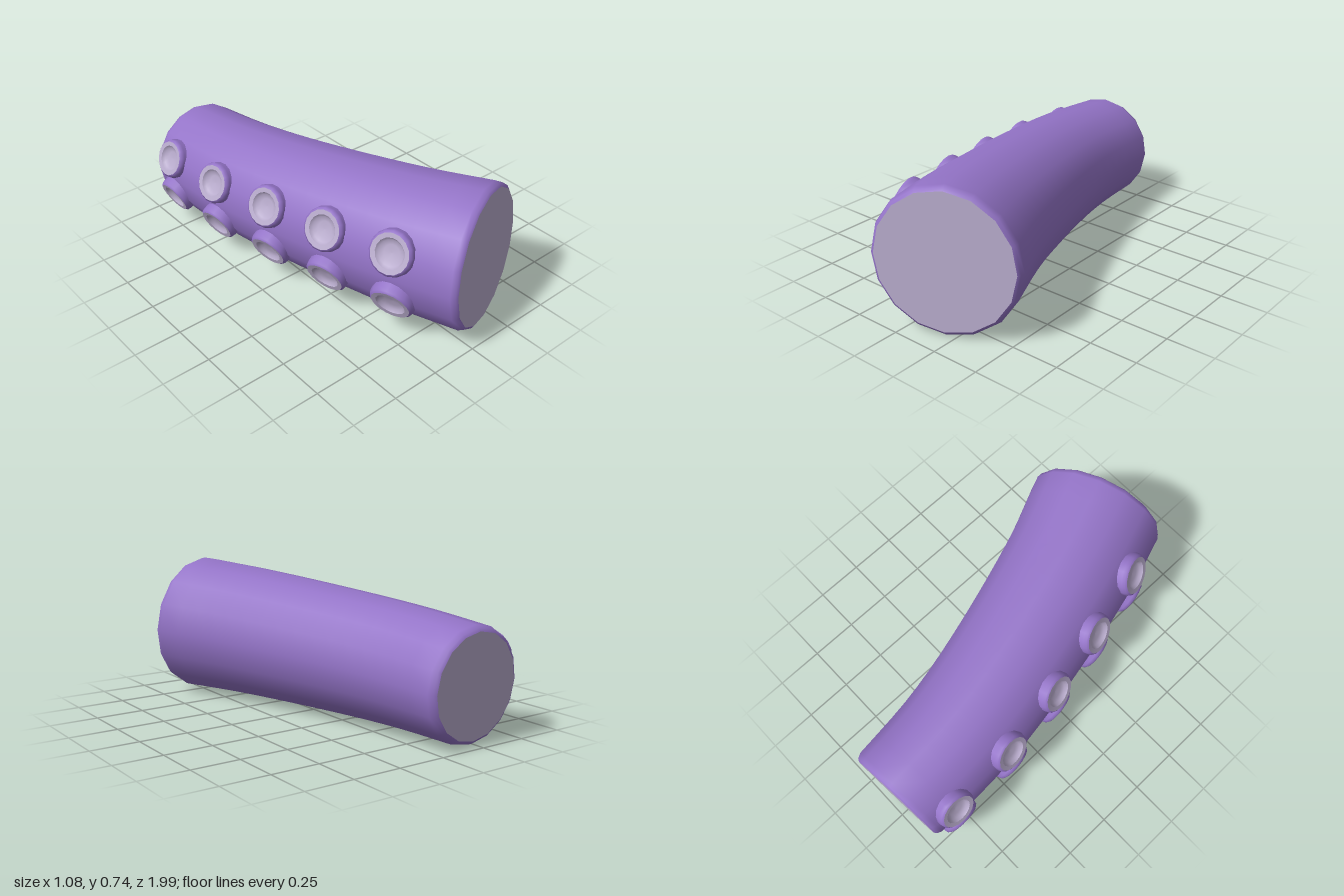
import * as THREE from 'three';

const SIDES = 16;
const skin = new THREE.MeshStandardMaterial({ color: 0x9474c8 });
skin.name = 'purple skin';
const flesh = new THREE.MeshStandardMaterial({ color: 0xb8abcc });
flesh.name = 'pale lilac flesh';

// Centre line of the tapering arm, from the thin back end to the thick front end
const spine = new THREE.CatmullRomCurve3([
  [-0.22, 0.287, -0.975], [-0.19, 0.307, -0.55], [-0.113, 0.326, -0.134],
  [0.06, 0.356, 0.5], [0.2, 0.373, 0.87],
].map((p) => new THREE.Vector3(...p)));
const radiusAt = (u) => THREE.MathUtils.lerp(0.284, 0.373, u);

// Centre, sideways, upward and forward directions at a point of the spine
function frameAt(u) {
  const c = spine.getPointAt(u);
  const t = spine.getTangentAt(u);
  const side = new THREE.Vector3(0, 1, 0).cross(t).normalize();
  const up = t.clone().cross(side);
  return { c, t, side, up };
}

function radial(f, a) {
  return f.side.clone().multiplyScalar(Math.cos(a)).addScaledVector(f.up, Math.sin(a));
}

function mesh(name, geometry, material) {
  const m = new THREE.Mesh(geometry, material);
  m.name = name;
  return m;
}

// Tapering skin with rounded rims: rings of [position, inset]
function armGeometry() {
  const rings = [[0, 0.024], [0.005, 0.01], [0.018, 0]];
  for (let i = 1; i < 16; i++) rings.push([0.018 + (0.964 * i) / 16, 0]);
  rings.push([0.982, 0], [0.995, 0.01], [1, 0.024]);
  const pos = [];
  const index = [];
  rings.forEach(([u, inset], i) => {
    const f = frameAt(u);
    for (let j = 0; j < SIDES; j++) {
      const p = radial(f, (j / SIDES) * Math.PI * 2).multiplyScalar(radiusAt(u) - inset).add(f.c);
      pos.push(p.x, p.y, p.z);
      if (i === rings.length - 1) continue;
      const a = i * SIDES + j;
      const b = i * SIDES + ((j + 1) % SIDES);
      index.push(a, b, b + SIDES, a, b + SIDES, a + SIDES);
    }
  });
  const g = new THREE.BufferGeometry();
  g.setAttribute('position', new THREE.Float32BufferAttribute(pos, 3));
  g.setIndex(index);
  g.computeVertexNormals();
  return g;
}

// Flat cut face closing one end
function cutFace(name, u, dir) {
  const f = frameAt(u);
  const m = mesh(name, new THREE.CircleGeometry(radiusAt(u) - 0.024, SIDES), flesh);
  m.quaternion.setFromRotationMatrix(new THREE.Matrix4().makeBasis(
    f.side.multiplyScalar(dir), f.up, f.t.multiplyScalar(dir)));
  m.position.copy(f.c);
  return m;
}

// Sucker: skin-coloured wall, flat rim and hollow cup, opening along +y
function sucker(R) {
  const lathe = (pts) => new THREE.LatheGeometry(
    pts.map(([x, y]) => new THREE.Vector2(x * R, y)), SIDES);
  const g = new THREE.Group();
  g.add(
    mesh('suckerWall', lathe([[1, -0.05], [1, 0.008], [0.96, 0.024], [0.87, 0.032]]), skin),
    mesh('suckerRim', lathe([[0.87, 0.032], [0.66, 0.03]]), flesh),
    mesh('suckerCup', lathe([[0.66, 0.03], [0.56, 0.014], [0.35, 0.006], [0, 0.004]]), flesh),
  );
  return g;
}

export function createModel() {
  const model = new THREE.Group();
  model.name = 'tentacleSegment';
  model.add(
    mesh('arm', armGeometry(), skin),
    cutFace('frontCut', 1, 1),
    cutFace('backCut', 0, -1),
  );

  // Two rows of suckers along the outer side of the bend
  for (let i = 0; i < 5; i++) {
    const u = 0.083 + i * 0.186;
    const f = frameAt(u);
    for (const row of [1, -1]) {
      const n = radial(f, Math.PI - (row * Math.PI) / 8);
      const s = sucker(0.105 + 0.012 * u);
      s.name = row > 0 ? 'upperSucker' : 'lowerSucker';
      s.quaternion.setFromUnitVectors(new THREE.Vector3(0, 1, 0), n);
      s.position.copy(f.c).addScaledVector(n, radiusAt(u));
      model.add(s);
    }
  }
  return model;
}
